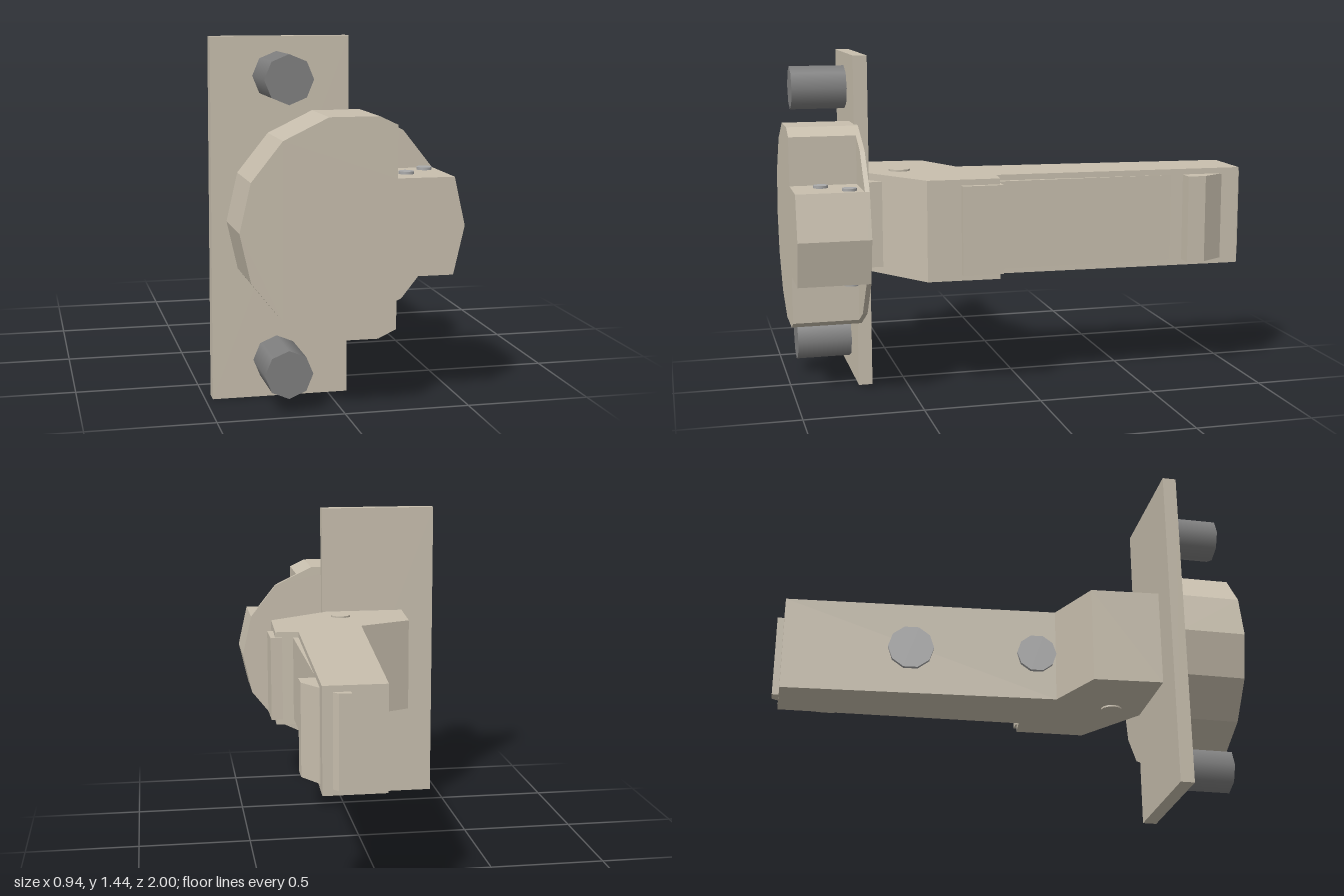
import * as THREE from 'three';

export function createModel() {
  const model = new THREE.Group();
  const mat = (color) => new THREE.MeshStandardMaterial({ color, flatShading: false });
  const body = mat(0xc8bfae), steel = mat(0x808080), rivetMat = mat(0xaaaaaa);
  const midY = 0.72;

  const add = (name, geometry, material = body) => {
    const mesh = new THREE.Mesh(geometry, material);
    mesh.name = name;
    model.add(mesh);
    return mesh;
  };
  const shapeOf = (pts) => new THREE.Shape(pts.map(([x, y]) => new THREE.Vector2(x, y)));
  // Outline in x,y extruded along z
  const alongZ = (name, pts, z0, z1) =>
    add(name, new THREE.ExtrudeGeometry(shapeOf(pts), { depth: z1 - z0, bevelEnabled: false }).translate(0, 0, z0));
  // Outline in x,z extruded upwards
  const alongY = (name, pts, y0, y1) =>
    add(name, new THREE.ExtrudeGeometry(shapeOf(pts.map(([x, z]) => [x, -z])), { depth: y1 - y0, bevelEnabled: false })
      .rotateX(-Math.PI / 2).translate(0, y0, 0));

  // Mounting plate with two dowels
  add('mountingPlate', new THREE.BoxGeometry(0.55, 1.44, 0.06).translate(-0.195, midY, 0.68));
  for (const y of [0.153, 1.287]) {
    const dowel = new THREE.CylinderGeometry(0.095, 0.095, 0.24, 8).rotateY(Math.PI / 2).rotateX(Math.PI / 2);
    add('dowel', dowel.translate(-0.21, y, 0.83), steel);
  }

  // Fourteen-sided cup, with its two corners cut away in front of the flange
  const rim = Array.from({ length: 14 }, (_, i) => {
    const a = (i / 14) * Math.PI * 2;
    return [0.03 + 0.44 * Math.cos(a), midY + 0.44 * Math.sin(a)];
  });
  alongZ('cupFlange', rim, 0.7, 0.72);
  alongZ('cup', [
    rim[0], rim[1], [0.2, 0.911], [0.2, 1.115],
    ...rim.slice(3, 12),
    [0.2, 0.325], [0.2, 0.529], rim[13],
  ], 0.72, 1);

  // Rivets on both sides of the cup tongue
  for (const y of [0.915, 0.525])
    for (const [x, z] of [[0.27, 0.88], [0.375, 0.775]])
      add('cupRivet', new THREE.CylinderGeometry(0.031, 0.031, 0.014, 12).translate(x, y, z), rivetMat);

  // Link between cup and arm
  add('link', new THREE.BoxGeometry(0.25, 0.37, 0.12).translate(0.005, midY, 0.66));

  // Cranked arm
  alongY('arm', [
    [-0.315, 0.65], [-0.295, 0.35], [-0.05, 0.24], [0.035, -0.97], [0.29, -0.97],
    [0.255, 0.13], [0.36, 0.14], [0.35, 0.45], [0.06, 0.65],
  ], 0.505, 0.935);
  add('pivotPin', new THREE.CylinderGeometry(0.047, 0.047, 0.446, 12).translate(0.01, midY, 0.505));

  // Raised details on the arm
  const low = 0.53, high = 0.91;
  alongY('armPanel', [[0.2, 0.135], [0.28, 0.135], [0.28, -0.72], [0.2, -0.72]], low, high);
  alongY('stepPad', [[0.33, 0.13], [0.382, 0.13], [0.382, 0.305], [0.33, 0.305]], low, high);
  alongY('releaseCatch', [[0.25, -0.71], [0.35, -0.71], [0.35, -0.79], [0.29, -0.89], [0.25, -0.89]], low, high);
  alongY('endTab', [[0.18, -0.96], [0.18, -1], [0.23, -1], [0.255, -0.96]], low, high);

  // Adjustment screws lying on the sloping side of the arm
  for (const [z, r] of [[-0.408, 0.102], [0.153, 0.088]]) {
    const screw = add('adjustmentScrew', new THREE.CylinderGeometry(r, r, 0.036, 10).rotateZ(Math.PI / 2), rivetMat);
    screw.position.set(-0.033 - 0.0702 * z, midY, z);
    screw.rotation.y = -0.07;
  }

  return model;
}
